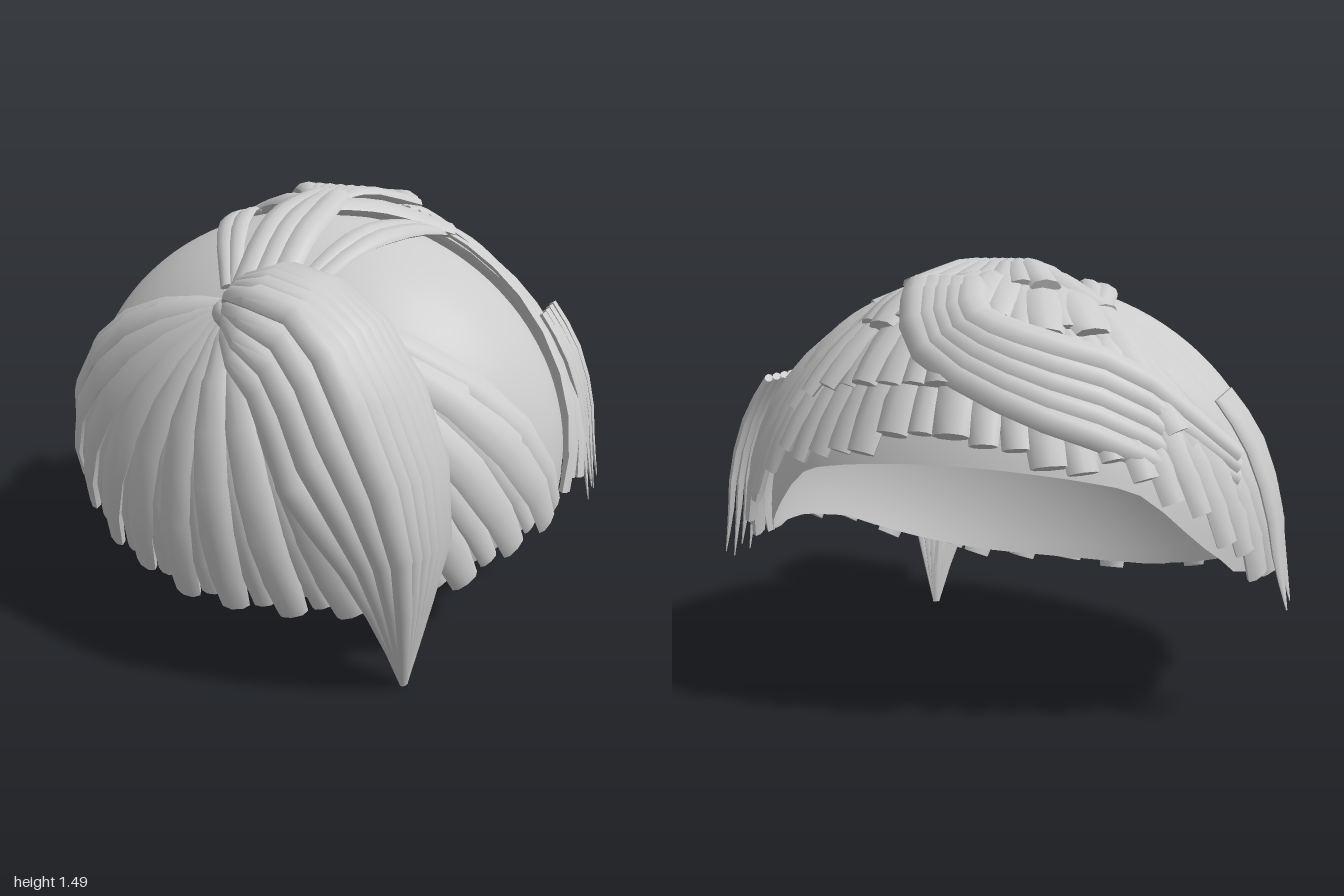
import * as THREE from 'three';
import { toCreasedNormals } from 'three/addons/utils/BufferGeometryUtils.js';

const V = (x, y, z) => new THREE.Vector3(x, y, z);
const CENTRE = V(0, 0.6, -0.08), RADII = V(0.91, 0.83, 0.69);
const lerp = THREE.MathUtils.lerp;

// Height of the cap's lower edge along z
const RIM = [[-0.85, 0.96], [-0.6, 0.83], [-0.5, 0.66], [-0.36, 0.53], [0, 0.51], [0.2, 0.46], [0.5, 0.28], [0.62, 0.24]];
function rimHeight(z) {
  for (let i = 1; i < RIM.length; i++) {
    const [z0, y0] = RIM[i - 1], [z1, y1] = RIM[i];
    if (z < z1) return lerp(y0, y1, Math.max(0, (z - z0) / (z1 - z0)));
  }
  return 0.24;
}

// Point on the head; theta 0 is the front, PI/2 is +x; phi runs down from the crown
const unit = (theta, phi) => V(Math.sin(phi) * Math.sin(theta), Math.cos(phi), Math.sin(phi) * Math.cos(theta));
const onHead = (u, s = 1) => u.clone().multiply(RADII).multiplyScalar(s).add(CENTRE);
const toUnit = p => p.clone().sub(CENTRE).divide(RADII).normalize();
function rimPhi(theta) {
  let phi = 0.4;
  for (; phi < 2.6; phi += 0.002) {
    const p = onHead(unit(theta, phi));
    if (p.y < rimHeight(p.z)) break;
  }
  return phi;
}

// Path across the head from p to q, lifted from scale s0 to s1 and bowed upwards
function arc(p, q, s0, s1, bow = 0, n = 7) {
  const a = toUnit(p), b = toUnit(q), pts = [];
  for (let i = 0; i <= n; i++) {
    const t = i / n, u = a.clone().lerp(b, t);
    u.y += bow * Math.sin(t * Math.PI);
    pts.push(onHead(u.normalize(), lerp(s0, s1, t)));
  }
  return pts;
}
const smooth = (pts, n = 8) => new THREE.CatmullRomCurve3(pts).getPoints(n);

let seed = 7;
const rand = (a, b) => {
  seed = (seed * 16807) % 2147483647;
  return lerp(a, b, seed / 2147483647);
};

// Flattened lock of hair: an oval swept along pts, width given by a list of half-widths
function lockGeometry(pts, widths, flat = 0.5, centre = CENTRE) {
  const SIDES = 8, pos = [], index = [], last = pts.length - 1;
  const ring = (i, scale) => {
    const T = pts[Math.min(i + 1, last)].clone().sub(pts[Math.max(i - 1, 0)]).normalize();
    const N = pts[i].clone().sub(centre);
    N.addScaledVector(T, -N.dot(T)).normalize();
    const B = N.clone().cross(T);
    const f = (i / last) * (widths.length - 1), k = Math.min(Math.floor(f), widths.length - 2);
    const w = lerp(widths[k], widths[k + 1], f - k) * scale;
    for (let j = 0; j < SIDES; j++) {
      const a = (j / SIDES) * Math.PI * 2;
      const p = pts[i].clone().addScaledVector(B, w * Math.cos(a)).addScaledVector(N, w * flat * Math.sin(a));
      pos.push(p.x, p.y, p.z);
    }
  };
  ring(0, 0);
  for (let i = 0; i <= last; i++) ring(i, 1);
  ring(last, 0);
  for (let i = 0; i < last + 2; i++) {
    for (let j = 0; j < SIDES; j++) {
      const a = i * SIDES + j, b = i * SIDES + (j + 1) % SIDES, c = a + SIDES, d = b + SIDES;
      index.push(a, b, c, b, d, c);
    }
  }
  const g = new THREE.BufferGeometry();
  g.setAttribute('position', new THREE.Float32BufferAttribute(pos, 3));
  g.setIndex(index);
  return toCreasedNormals(g, 0.9);
}

export function createModel() {
  seed = 7;
  const model = new THREE.Group();
  model.name = 'hair';
  const mat = new THREE.MeshStandardMaterial({ color: 0xcccccc });
  const group = name => {
    const g = new THREE.Group();
    g.name = name;
    model.add(g);
    return g;
  };
  const lock = (parent, name, ...args) => {
    const m = new THREE.Mesh(lockGeometry(...args), mat);
    m.name = name;
    parent.add(m);
  };

  // Smooth open cap trimmed along the rim
  const cap = new THREE.SphereGeometry(1, 72, 28, 0, Math.PI * 2, 0, 3);
  const cp = cap.attributes.position, uv = cap.attributes.uv;
  for (let i = 0; i < cp.count; i++) {
    const theta = uv.getX(i) * Math.PI * 2 - Math.PI / 2;
    const row = Math.floor(i / 73) / 28;
    const p = onHead(unit(theta, row * rimPhi(theta)));
    cp.setXYZ(i, p.x, p.y, p.z);
  }
  cap.computeVertexNormals();
  const capMesh = new THREE.Mesh(cap, new THREE.MeshStandardMaterial({ color: 0xcccccc, side: THREE.DoubleSide }));
  capMesh.name = 'scalpCap';
  model.add(capMesh);

  // Fringe fanning from the knot to the front rim, flatter towards the sides
  const knot = V(-0.08, 1.2, 0.42);
  const fringe = group('fringe');
  for (let i = 0; i < 27; i++) {
    const theta = lerp(-1.45, 1.45, i / 26), side = Math.abs(Math.sin(theta));
    const end = onHead(unit(theta, rimPhi(theta) - rand(-0.02, 0.03)));
    const w = i % 2 ? rand(0.07, 0.085) : rand(0.045, 0.06);
    const lift = lerp(1.085, 1.025, side) + (i % 2 ? 0.01 : -0.005);
    lock(fringe, 'fringeLock', arc(knot, end, 1.05, lift, 0.1 * side),
      [0.025, w * 0.75, w, w, w * 0.7], lerp(0.6, 0.32, side));
  }
  const tie = new THREE.Mesh(new THREE.IcosahedronGeometry(0.05, 1), mat);
  tie.name = 'knot';
  tie.position.set(-0.08, 1.2, 0.47);
  model.add(tie);

  // Swept forelock arching to +x and falling to a point, in nested layers
  const sweep = group('forelock');
  for (let layer = 0; layer < 4; layer++) {
    const count = 7 - layer, dx = layer * 0.06, dy = layer * 0.085;
    for (let i = 0; i < count; i++) {
      const t = i / (count - 1), hump = 0.03 * Math.sin(t * Math.PI), edge = 0.07 * t * t;
      const out = 0.045 * layer * (1 - t);
      lock(sweep, 'forelockLock', smooth([
        V(-0.07, 1.25 - dy * 0.2, 0.43 + 0.04 * t),
        V(0.1 - dx * 0.2, 1.34 - dy * 0.7 + hump, 0.43 + 0.27 * t + out),
        V(0.34 - dx * 0.7, 1.3 - dy + hump, 0.48 + 0.3 * t + out),
        V(0.56 - dx - edge, 1.07 - dy, 0.52 + 0.3 * t + out),
        V(0.68 - dx - edge, 0.66 - dy * 0.3, 0.53 + 0.21 * t + out),
        V(0.62 - dx * 0.4 - edge * 0.3, 0.28, 0.53 + 0.09 * t),
        V(0.57, 0.02, 0.52)], 10), [0.03, 0.05, 0.055, 0.05, 0.035, 0.015], 0.6, V(0.2, 0.6, 0.4));
    }
  }

  // Centre band over the crown, forking towards both sides
  const crown = group('crownBand');
  for (const x of [-0.06, 0, 0.06]) {
    lock(crown, 'crownLock', smooth([V(x, 1.27, 0.4), V(x * 1.1, 1.41, 0.2), V(x * 1.1, 1.46, 0.03), V(x * 0.6, 1.48, -0.17)]),
      [0.045, 0.05, 0.05], 0.5);
  }
  for (const s of [-1, 1]) {
    lock(crown, 'forkLock', smooth([V(0, 1.46, -0.06), V(s * 0.18, 1.43, -0.22), V(s * 0.39, 1.34, -0.38)]), [0.06, 0.07, 0.06], 0.5);
    for (const k of [0, 1]) {
      lock(crown, 'crownStrand', smooth([V(s * (0.1 + 0.03 * k), 1.26, 0.38), V(s * (0.2 + 0.05 * k), 1.39 - 0.01 * k, 0.15),
        V(s * (0.28 + 0.05 * k), 1.41 - 0.015 * k, -0.08), V(s * 0.38, 1.34, -0.38)]), [0.02, 0.04, 0.03], 0.45);
    }
  }
  for (let i = -3; i <= 3; i++) {
    lock(crown, 'crownFanLock', smooth([V(i * 0.01, 1.47, -0.1), V(i * 0.035, 1.485, -0.24), V(i * 0.075, 1.42, -0.45)], 5),
      [0.02, 0.045, 0.05], 0.5);
  }

  // Back hair in overlapping layers, each flaring out at its ends
  const back = group('backHair');
  for (const s of [-1, 1]) {
    for (let layer = 0; layer < 3; layer++) {
      const count = 15 - layer * 3;
      for (let i = 0; i < count; i++) {
        const u = (i + 0.5 * (layer % 2)) / (count - 0.5);
        const theta = s * lerp(1.66 + layer * 0.28, Math.PI, u);
        const root = V(s * 0.38 * (1 - u), 1.35, lerp(-0.38, -0.3, u));
        const reach = rimPhi(theta) * (1 - 0.18 * layer) - rand(0, 0.07);
        const w = rand(0.055, 0.08);
        lock(back, 'backLock', arc(root, onHead(unit(theta, Math.max(reach, 0.72))), 1.05 + 0.02 * layer,
          1.03 + 0.12 * u + 0.015 * layer + rand(0, 0.03)), [0.04, w, w, w * 0.75], lerp(0.35, 0.5, u));
      }
    }
    // Broad band running down each side
    for (let k = 0; k < 2; k++) {
      const theta = s * (1.63 + 0.12 * k);
      lock(back, 'sideBand', arc(V(s * 0.38, 1.35, -0.38), onHead(unit(theta, rimPhi(theta))), 1.07, 1.025, 0.05, 8),
        [0.05, 0.07, 0.07], 0.27);
    }
  }

  // Locks swirling round the back towards -x
  const swirl = group('backSwirl');
  for (let i = 0; i < 5; i++) {
    const t = i / 4;
    lock(swirl, 'swirlLock', smooth([
      V(0.22 - 0.14 * t, 1.4, -0.36), V(0.17 - 0.17 * t, 1.42, -0.52), V(0.08 - 0.14 * t, 1.26 + 0.08 * t, -0.7 + 0.06 * t),
      V(-0.22, 1.1 + 0.18 * t, -0.75 + 0.1 * t), V(-0.52, 0.98 + 0.2 * t, -0.67 + 0.12 * t),
      V(-0.83, 0.78 + 0.14 * t, -0.44 + 0.03 * t)], 12), [0.045, 0.06, 0.055, 0.05, 0.03], 0.6);
  }

  // Pointed wisps hanging at each side
  const wisps = group('sideWisps');
  for (const s of [-1, 1]) {
    for (let i = 0; i < 4; i++) {
      const z = -0.275 - 0.052 * i, drop = 0.03 * (i % 2);
      lock(wisps, 'wisp', smooth([V(s * 0.77, 1.1, z - 0.01), V(s * 0.86, 0.97, z), V(s * 0.93, 0.78, z),
        V(s * 0.96, 0.6, z + 0.005), V(s * 0.99, 0.43 + drop, z + 0.01)], 7), [0.03, 0.036, 0.032, 0.022, 0.004], 0.45);
    }
  }
  return model;
}
